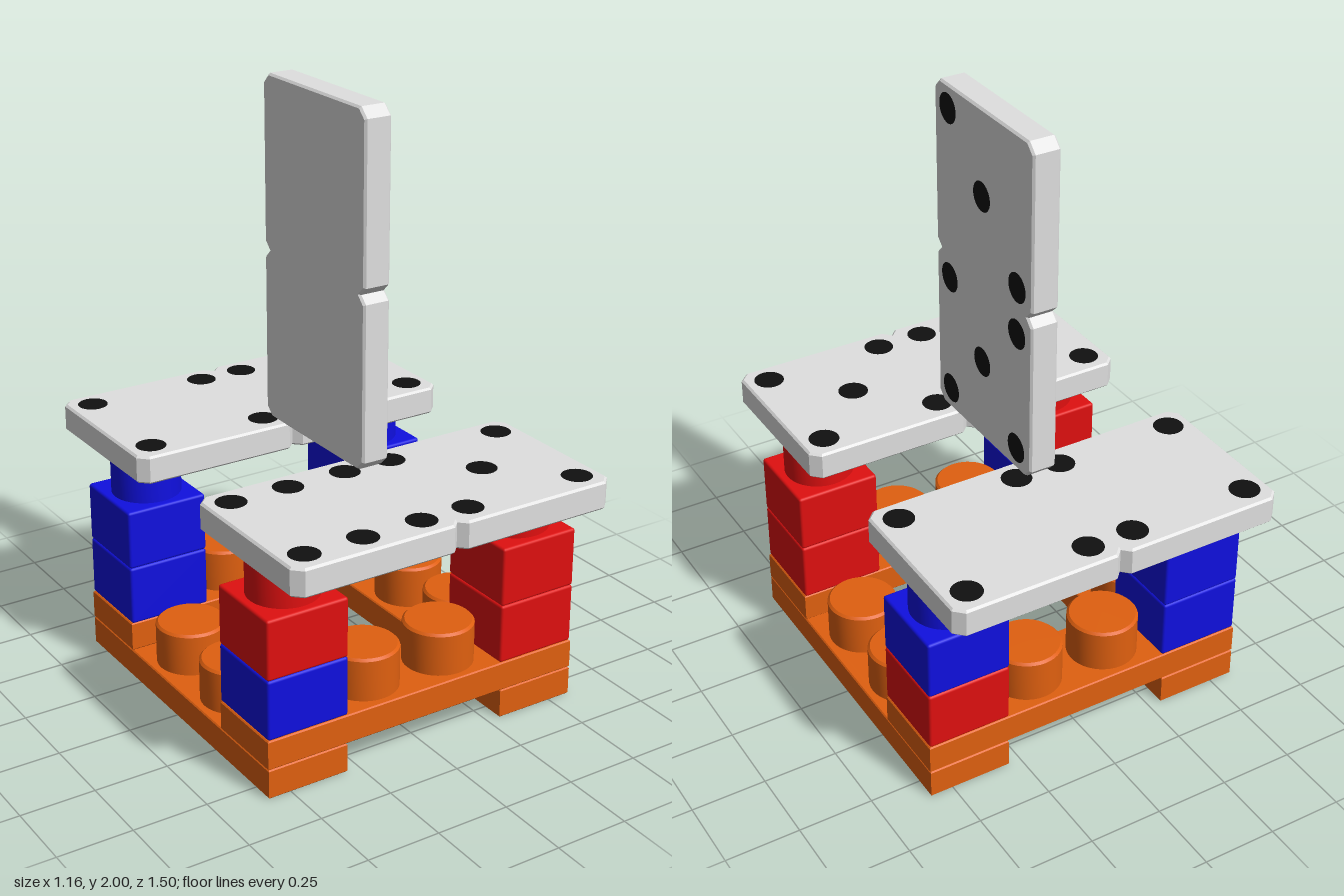
import * as THREE from 'three';
import { toCreasedNormals } from 'three/addons/utils/BufferGeometryUtils.js';
import { RoundedBoxGeometry } from 'three/addons/geometries/RoundedBoxGeometry.js';

const material = (name, color) => {
  const m = new THREE.MeshStandardMaterial({ color });
  m.name = name;
  return m;
};

const PITCH = 0.29, STUD_R = 0.117, STUD_H = 0.146, HOLE_R = 0.11;
const PLATE_H = 0.1, TILE_L = 1.16, TILE_W = 0.577, TILE_T = 0.095;

export function createModel() {
  const orange = material('orange', 0xe06010);
  const red = material('red', 0xe01010);
  const blue = material('blue', 0x1010e0);
  const ivory = material('pale grey', 0xe0e0e0);
  const black = material('black', 0x101010);

  const model = new THREE.Group();
  model.name = 'dominoChair';

  const add = (parent, name, geometry, mat, x = 0, y = 0, z = 0) => {
    const mesh = new THREE.Mesh(geometry, mat);
    mesh.name = name;
    mesh.position.set(x, y, z);
    parent.add(mesh);
    return mesh;
  };

  // Extrude an outline to an exact total thickness with a small edge bevel
  const slab = (shape, thickness, bevel) => new THREE.ExtrudeGeometry(shape, {
    depth: thickness - 2 * bevel, bevelThickness: bevel, bevelSize: bevel,
    bevelOffset: -bevel, bevelSegments: 1, curveSegments: 32,
  }).translate(0, 0, bevel);

  const lathe = (points) => toCreasedNormals(
    new THREE.LatheGeometry(points.map(([r, y]) => new THREE.Vector2(r, y)), 40), 0.6);

  // Round stud, and the socket that opens below it
  const stud = lathe([[STUD_R, 0], [STUD_R, STUD_H - 0.008], [STUD_R - 0.008, STUD_H], [0, STUD_H]]);
  const socket = lathe([[0, 0.145], [HOLE_R, 0.145], [HOLE_R, 0.004]]);

  // Four-stud plate with round sockets in its underside
  const rect = (w, h) => new THREE.Shape([[-w, -h], [w, -h], [w, h], [-w, h]]
    .map(([x, y]) => new THREE.Vector2(x / 2, y / 2)));
  const studX = [-1.5, -0.5, 0.5, 1.5].map((i) => i * PITCH);
  const plateShape = rect(1.16, 0.284);
  for (const x of studX) {
    plateShape.holes.push(new THREE.Path().absarc(x, 0, HOLE_R, 0, Math.PI * 2, true));
  }
  const plateGeometry = slab(plateShape, PLATE_H, 0.004).rotateX(-Math.PI / 2);

  const addPlate = (name, x, y, z, turn) => {
    const plate = new THREE.Group();
    plate.name = name;
    plate.position.set(x, y, z);
    plate.rotation.y = turn;
    add(plate, 'plateBody', plateGeometry, orange);
    for (const sx of studX) {
      add(plate, 'plateStud', stud, orange, sx, PLATE_H, 0);
      add(plate, 'plateSocket', socket, orange, sx, 0, 0);
    }
    model.add(plate);
  };
  for (const s of [-1, 1]) {
    addPlate('lowerPlate', s * 0.437, 0, 0, Math.PI / 2);
    addPlate('upperPlate', 0, PLATE_H, s * 0.437, 0);
  }

  // Corner legs of two stacked bricks: x side, z side, bottom and top colour
  const brick = new RoundedBoxGeometry(0.287, 0.203, 0.287, 2, 0.009);
  const legs = [
    [-1, 1, blue, red], [1, 1, red, red], [1, -1, red, blue], [-1, -1, blue, blue],
  ];
  for (const [sx, sz, bottom, top] of legs) {
    const leg = new THREE.Group();
    leg.name = 'leg';
    leg.position.set(sx * 0.435, 0.2, sz * 0.435);
    add(leg, 'lowerBrick', brick, bottom, 0, 0.102, 0);
    add(leg, 'upperBrick', brick, top, 0, 0.305, 0);
    add(leg, 'legStud', stud, top, 0, 0.404, 0);
    model.add(leg);
  }

  // Domino tile: clipped corners and a notch at the middle of each long edge
  const a = TILE_L / 2, b = TILE_W / 2, c = 0.032, n = 0.026;
  const half = [[-a, b - c], [-a, -b + c], [-a + c, -b], [-n, -b], [0, -b + n], [n, -b], [a - c, -b]];
  const outline = [...half, ...half.map(([x, y]) => [-x, -y])];
  const tileGeometry = slab(
    new THREE.Shape(outline.map(([x, y]) => new THREE.Vector2(x, y))), TILE_T, 0.007);
  const pip = new THREE.CircleGeometry(0.05, 32);

  const addTile = (name, pips, position, rotation) => {
    const tile = new THREE.Group();
    tile.name = name;
    add(tile, 'tileBody', tileGeometry, ivory);
    for (const [u, v] of pips) add(tile, 'pip', pip, black, u, v, TILE_T + 0.002);
    tile.position.set(...position);
    tile.rotation.set(...rotation);
    model.add(tile);
  };

  // Pip positions: along the tile, then across it
  const corners = (u0, u1, v = 0.207) => [[u0, v], [u1, v], [u0, -v], [u1, -v]];
  const four = corners(-0.5, -0.08), fourRight = corners(0.08, 0.5);
  const six = [...corners(-0.5, -0.09), [-0.298, 0.207], [-0.298, -0.207]];
  const flat = [-Math.PI / 2, 0, 0];
  addTile('frontSeat', [...six, ...fourRight, [0.287, 0]], [-0.005, 0.75, 0.461], flat);
  addTile('backSeat', [...four, ...fourRight], [-0.005, 0.75, -0.463], flat);

  const five = [...corners(-0.5, -0.083, 0.205), [-0.292, 0.003]];
  const three = [[0.503, 0.205], [0.292, 0.003], [0.078, -0.205]];
  addTile('standingTile', [...five, ...three], [-0.05, 1.422, 0], [0, Math.PI / 2, Math.PI / 2]);

  return model;
}
